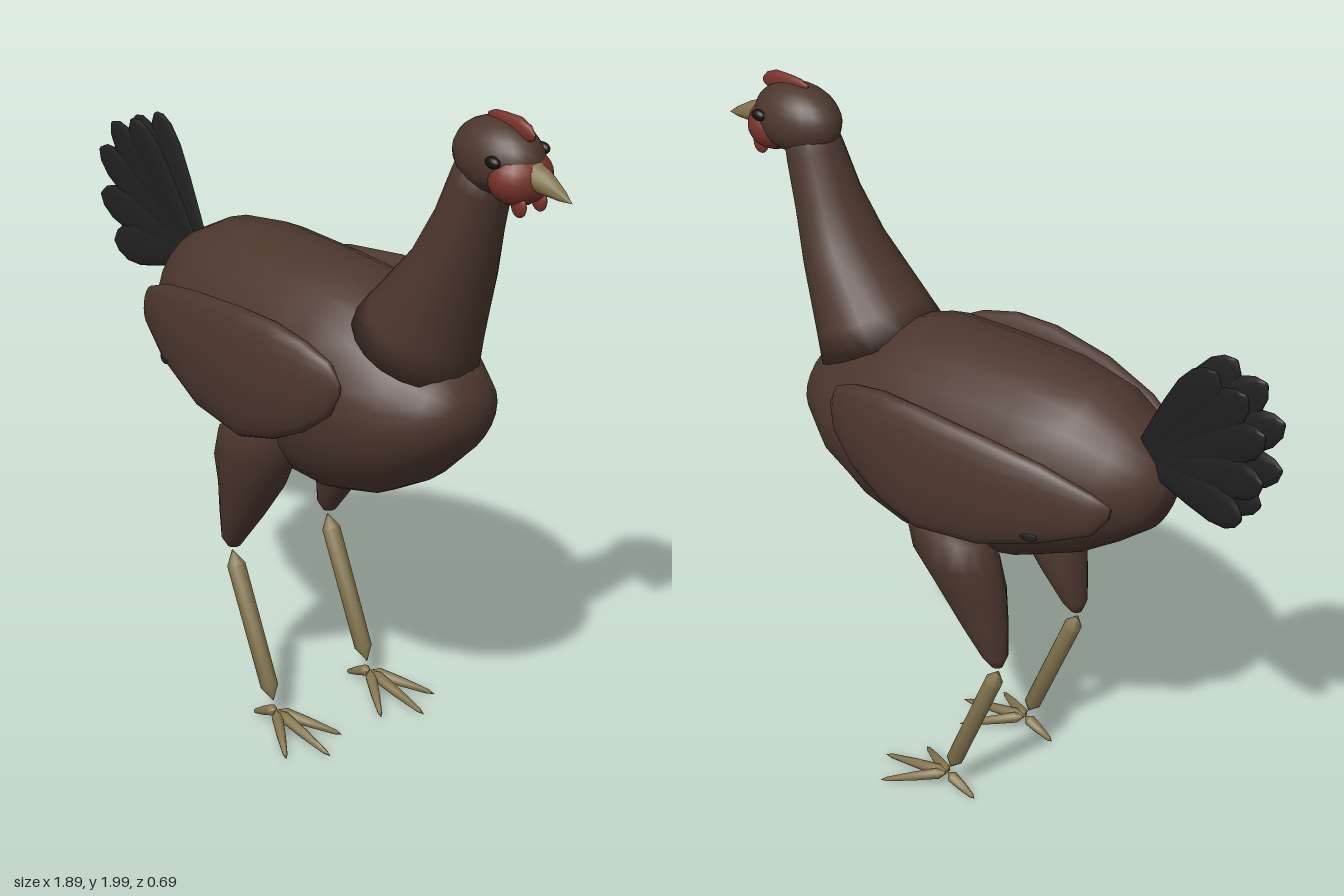
import * as THREE from 'three';
import { toCreasedNormals } from 'three/addons/utils/BufferGeometryUtils.js';

const mat = (name, color) => Object.assign(new THREE.MeshStandardMaterial({ color }), { name });

// Elliptical loft. Each section is [ax, ay, bx, by, halfWidth, z]:
// a and b are the two opposite points in the side plane.
function loft(sections, segs = 20) {
  const pos = [], idx = [], n = sections.length;
  for (const [ax, ay, bx, by, w, z = 0] of sections) {
    for (let i = 0; i < segs; i++) {
      const t = (i / segs) * Math.PI * 2, c = Math.cos(t) / 2;
      pos.push((ax + bx) / 2 + (ax - bx) * c, (ay + by) / 2 + (ay - by) * c, z + w * Math.sin(t));
    }
  }
  for (const s of [sections[0], sections[n - 1]]) pos.push((s[0] + s[2]) / 2, (s[1] + s[3]) / 2, s[5] ?? 0);
  const first = n * segs;
  for (let i = 0; i < segs; i++) {
    const k = (i + 1) % segs;
    for (let j = 0; j < n - 1; j++) {
      const a = j * segs + i, b = j * segs + k;
      idx.push(a, b, a + segs, b, b + segs, a + segs);
    }
    const e = (n - 1) * segs;
    idx.push(first, k, i, first + 1, e + i, e + k);
  }
  // Turn the faces outward whichever way the sections run
  let volume = 0;
  const v = (i) => new THREE.Vector3().fromArray(pos, i * 3);
  for (let i = 0; i < idx.length; i += 3) volume += v(idx[i]).dot(v(idx[i + 1]).cross(v(idx[i + 2])));
  if (volume < 0) idx.reverse();
  const g = new THREE.BufferGeometry();
  g.setAttribute('position', new THREE.Float32BufferAttribute(pos, 3));
  g.setIndex(idx);
  g.computeVertexNormals();
  return g;
}

// Lathe stretched between two points; profile is [radius, fraction of length]
function spindle(from, to, profile, segs = 8) {
  const a = new THREE.Vector3(...from), d = new THREE.Vector3(...to).sub(a), len = d.length();
  const g = new THREE.LatheGeometry(profile.map(([r, t]) => new THREE.Vector2(r, t * len)), segs);
  g.applyQuaternion(new THREE.Quaternion().setFromUnitVectors(new THREE.Vector3(0, 1, 0), d.normalize()));
  return toCreasedNormals(g.translate(a.x, a.y, a.z), 0.9);
}

const ellipsoid = (x, y, z, rx, ry, rz) =>
  new THREE.SphereGeometry(1, 20, 14).scale(rx, ry, rz).translate(x, y, z);

export function createModel() {
  const group = new THREE.Group();
  group.name = 'bird';
  const brown = mat('brownPlumage', 0x4c372e);
  const black = mat('blackFeather', 0x202020);
  const red = mat('redSkin', 0x78332b);
  const horn = mat('hornLeg', 0x84754f);
  const eyeBlack = mat('eyeBlack', 0x151210);
  const add = (name, geometry, material) => {
    const m = new THREE.Mesh(geometry, material);
    m.name = name;
    group.add(m);
  };

  // Body, running from tail to breast
  add('body', loft([
    [-0.62, 1.19, -0.61, 1.12, 0.04], [-0.6, 1.26, -0.585, 1.05, 0.1],
    [-0.52, 1.345, -0.5, 0.985, 0.18], [-0.4, 1.41, -0.38, 0.905, 0.225],
    [-0.24, 1.435, -0.2, 0.825, 0.258], [0, 1.432, 0, 0.775, 0.272],
    [0.18, 1.425, 0.15, 0.77, 0.268], [0.3, 1.38, 0.3, 0.81, 0.25],
    [0.43, 1.3, 0.44, 0.89, 0.215], [0.54, 1.235, 0.54, 0.985, 0.15],
    [0.58, 1.17, 0.58, 1.05, 0.08], [0.588, 1.13, 0.588, 1.09, 0.03],
  ], 24), brown);

  // Neck
  add('neck', loft([
    [0.22, 1.37, 0.54, 1.2, 0.185], [0.28, 1.43, 0.56, 1.29, 0.17],
    [0.42, 1.585, 0.615, 1.48, 0.13], [0.49, 1.71, 0.655, 1.63, 0.1],
    [0.54, 1.83, 0.69, 1.76, 0.084], [0.57, 1.9, 0.71, 1.84, 0.07],
  ]), brown);

  // Head
  add('head', ellipsoid(0.675, 1.88, 0, 0.14, 0.1, 0.096), brown);
  add('face', ellipsoid(0.752, 1.845, 0, 0.078, 0.076, 0.092), red);
  add('beak', spindle([0.79, 1.865, 0], [0.938, 1.82, 0],
    [[0, 0], [0.036, 0.02], [0.031, 0.35], [0.015, 0.75], [0, 1]], 12), horn);
  add('comb', loft([
    [0.635, 1.985, 0.638, 1.968, 0.004], [0.66, 1.997, 0.66, 1.95, 0.011],
    [0.7, 2, 0.7, 1.945, 0.013], [0.75, 2, 0.75, 1.94, 0.013],
    [0.785, 1.985, 0.78, 1.94, 0.011], [0.802, 1.965, 0.798, 1.948, 0.004],
  ], 12), red);

  // Paired parts
  for (const [side, s] of [['left', 1], ['right', -1]]) {
    add(side + 'Eye', ellipsoid(0.742, 1.896, s * 0.087, 0.024, 0.016, 0.014), eyeBlack);
    add(side + 'Wattle', ellipsoid(0.787, 1.782, s * 0.036, 0.026, 0.031, 0.012), red);

    add(side + 'Wing', loft([
      [-0.56, 1.18, -0.555, 1.14, 0.01, s * 0.175], [-0.52, 1.215, -0.52, 1.09, 0.026, s * 0.198],
      [-0.38, 1.275, -0.38, 1.032, 0.042, s * 0.242], [-0.2, 1.315, -0.2, 0.975, 0.05, s * 0.277],
      [0, 1.338, 0, 0.955, 0.052, s * 0.294], [0.13, 1.336, 0.13, 0.99, 0.05, s * 0.289],
      [0.24, 1.31, 0.24, 1.045, 0.042, s * 0.276], [0.32, 1.27, 0.32, 1.11, 0.026, s * 0.258],
      [0.35, 1.215, 0.35, 1.175, 0.008, s * 0.248],
    ]), brown);
    // Dark flight feather just showing through the wing
    add(side + 'WingSpot', ellipsoid(0, 0, 0, 0.025, 0.015, 0.006)
      .rotateY(-s * 0.25).translate(-0.365, 1.062, s * 0.273), black);

    add(side + 'Thigh', loft([
      [-0.06, 0.965, 0.06, 0.995, 0.04, s * 0.23], [-0.16, 0.925, 0.095, 0.965, 0.085, s * 0.218],
      [-0.19, 0.84, 0.08, 0.87, 0.102, s * 0.2], [-0.198, 0.74, 0.01, 0.755, 0.09, s * 0.182],
      [-0.207, 0.64, -0.068, 0.645, 0.066, s * 0.18], [-0.213, 0.55, -0.14, 0.55, 0.04, s * 0.18],
      [-0.2, 0.515, -0.16, 0.52, 0.018, s * 0.18],
    ], 16), brown);
    add(side + 'Shank', spindle([-0.19, 0.5, s * 0.18], [-0.01, 0.08, s * 0.18],
      [[0, 0], [0.027, 0.1], [0.026, 0.9], [0, 1]]), horn);

    // Three front toes and one hind toe
    for (const [x, dz] of [[0.17, -0.105], [0.24, 0], [0.17, 0.105], [-0.1, 0]]) {
      add(side + 'Toe', spindle([0, 0.055, s * 0.18], [x, 0.008, s * 0.18 + dz],
        [[0, 0], [0.017, 0.15], [0.014, 0.5], [0.007, 0.9], [0, 1]]), horn);
    }

    // Fan of tail feathers
    for (const [tx, ty] of [[-0.79, 1.61], [-0.885, 1.575], [-0.945, 1.48], [-0.945, 1.34], [-0.885, 1.21]]) {
      const bx = -0.53, by = 1.255;
      const d = new THREE.Vector2(tx - bx, ty - by), u = d.clone().normalize();
      const rows = [[0, 0.02], [0.25, 0.038], [0.5, 0.054], [0.72, 0.063], [0.87, 0.055], [0.96, 0.034], [1, 0.008]];
      add(side + 'TailFeather', loft(rows.map(([t, h]) => {
        const x = bx + d.x * t, y = by + d.y * t;
        return [x - u.y * h, y + u.x * h, x + u.y * h, y - u.x * h, 0.004 + h * 0.12, s * (0.015 + 0.028 * t)];
      }), 12), black);
    }
  }
  return group;
}
